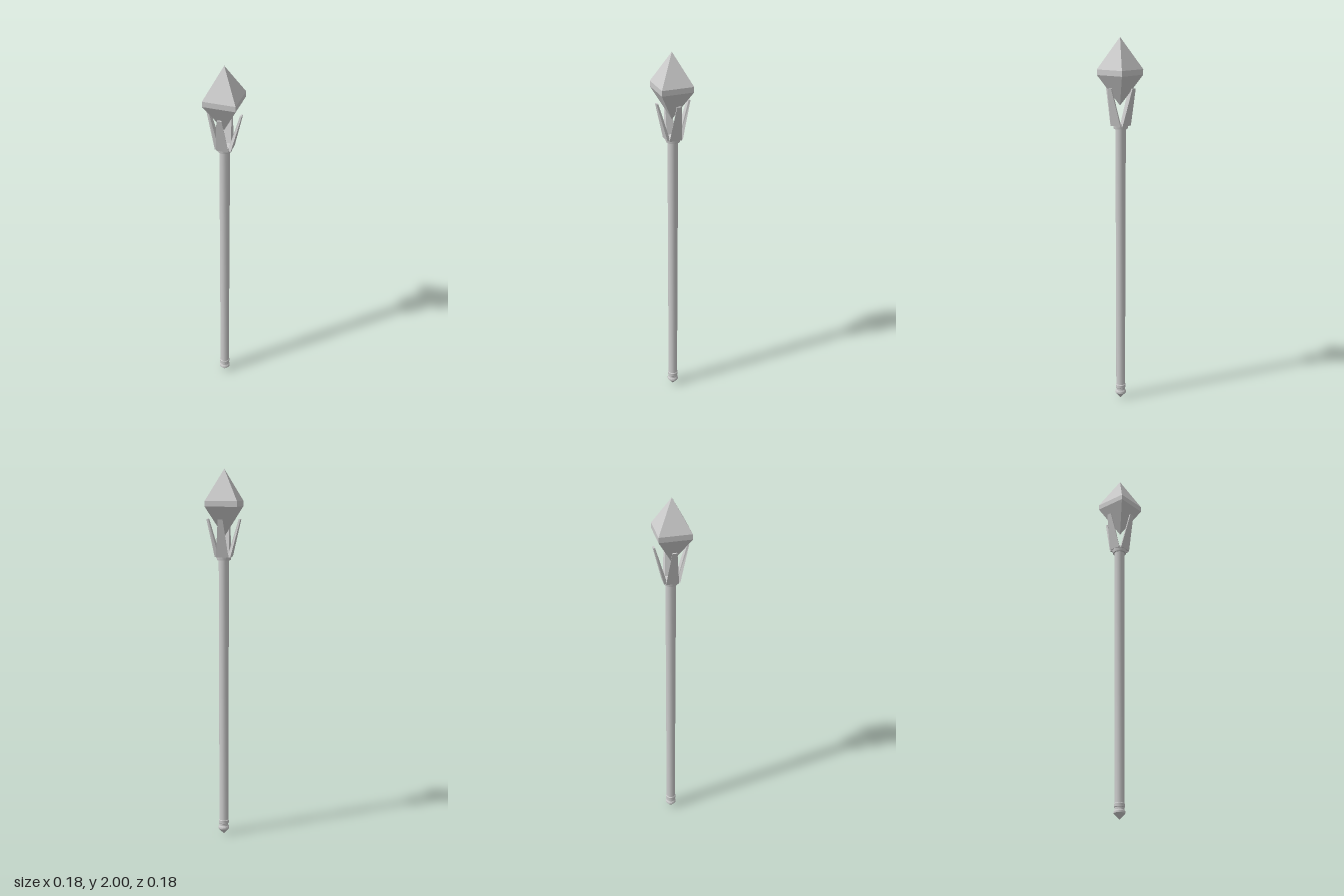
import * as THREE from 'three';
import { toCreasedNormals } from 'three/addons/utils/BufferGeometryUtils.js';

const material = new THREE.MeshStandardMaterial({ color: 0xcccccc });
const flatMaterial = new THREE.MeshStandardMaterial({ color: 0xcccccc, flatShading: true });

// Turned part from [radius, height] points, listed bottom to top
function turned(name, profile, sides = 12) {
  const points = profile.map(([r, y]) => new THREE.Vector2(r, y));
  const geometry = toCreasedNormals(new THREE.LatheGeometry(points, sides), 0.6);
  const mesh = new THREE.Mesh(geometry, material);
  mesh.name = name;
  return mesh;
}

// Prong cross-sections: inner/outer radius and inner/outer half width at each end
const PRONG_BASE = { y: 1.54, inner: 0.024, outer: 0.042, wIn: 0.024, wOut: 0.034 };
const PRONG_TIP = { y: 1.74, inner: 0.082, outer: 0.092, wIn: 0.011, wOut: 0.013 };

function prongGeometry() {
  const geometry = new THREE.BoxGeometry(1, 1, 1);
  const p = geometry.attributes.position;
  for (let i = 0; i < p.count; i++) {
    const end = p.getY(i) > 0 ? PRONG_TIP : PRONG_BASE;
    const outside = p.getZ(i) > 0;
    const halfWidth = outside ? end.wOut : end.wIn;
    p.setXYZ(i, Math.sign(p.getX(i)) * halfWidth, end.y, outside ? end.outer : end.inner);
  }
  geometry.computeVertexNormals();
  return geometry;
}

export function createModel() {
  const group = new THREE.Group();
  group.name = 'staff';

  // Tapered shaft with its end fittings
  group.add(turned('shaft', [[0.025, 0.05], [0.028, 1.53]]));
  group.add(turned('lowerRing', [
    [0.024, 0.06], [0.028, 0.064], [0.028, 0.08], [0.024, 0.085],
  ]));
  group.add(turned('pommel', [
    [0, 0], [0.03, 0.032], [0.03, 0.042], [0.023, 0.052], [0, 0.052],
  ]));
  group.add(turned('collar', [
    [0, 1.523], [0.037, 1.523], [0.042, 1.545], [0.039, 1.553], [0, 1.553],
  ]));

  // Four flaring prongs around the crystal
  const prongs = new THREE.Group();
  prongs.name = 'prongs';
  const geometry = prongGeometry();
  for (let i = 0; i < 4; i++) {
    const prong = new THREE.Mesh(geometry, flatMaterial);
    prong.name = 'prong';
    prong.rotation.y = i * Math.PI / 2;
    prongs.add(prong);
  }
  group.add(prongs);

  // Square crystal with a narrow upright band
  const r = 0.086 * Math.SQRT2;
  const crystal = turned('crystal', [[0, 1.645], [r, 1.805], [r, 1.834], [0, 2]], 4);
  crystal.material = flatMaterial;
  crystal.rotation.y = Math.PI / 4;
  crystal.position.set(-0.001, 0, 0.005);
  group.add(crystal);

  return group;
}
